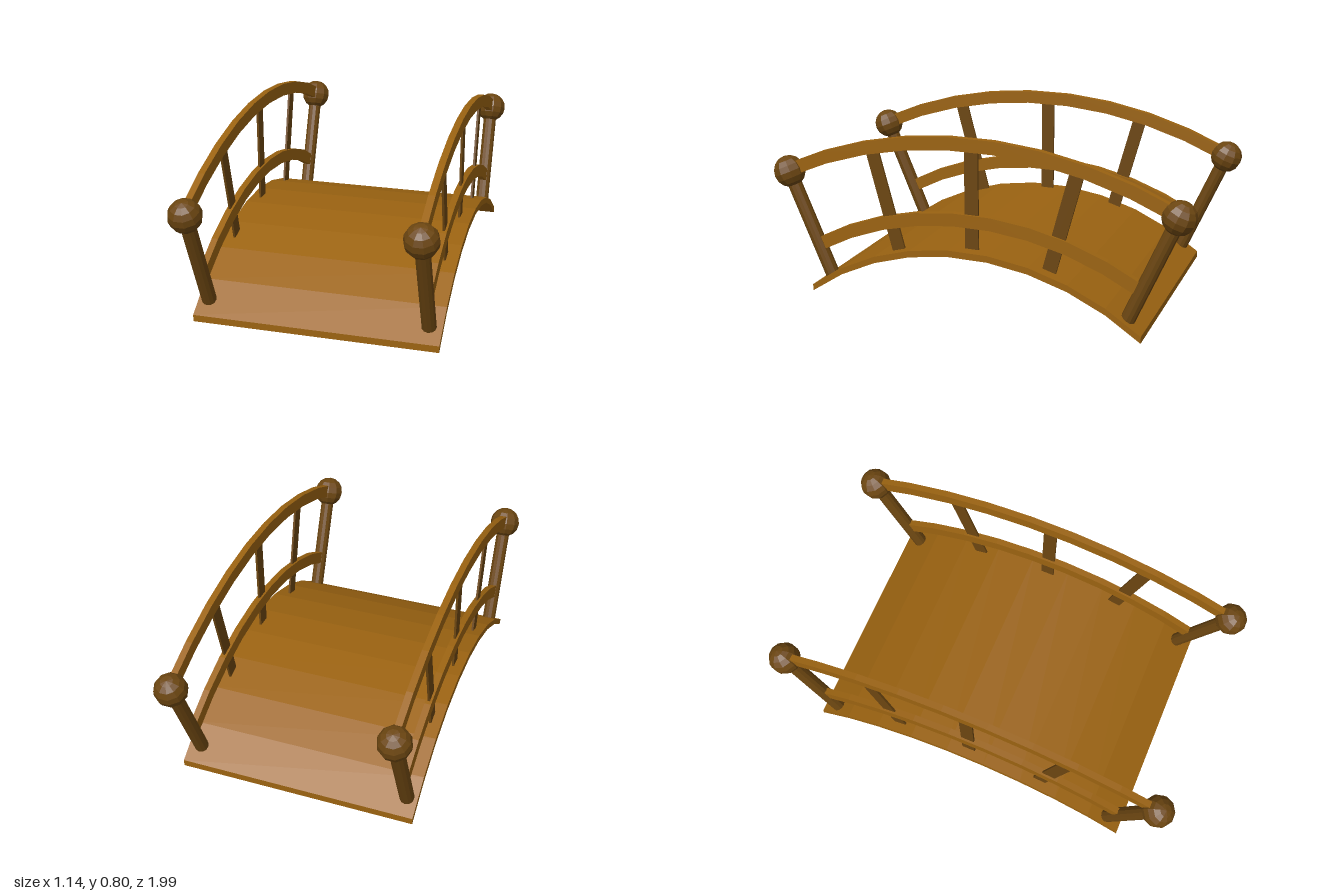
import * as THREE from 'three';

const wood = new THREE.MeshStandardMaterial({ color: 0x9b6311, flatShading: true });
wood.name = 'warm wood';
const darkWood = new THREE.MeshStandardMaterial({ color: 0x6c4611, flatShading: true });
darkWood.name = 'dark wood';

const SEGMENTS = 9;

// Arched strip in the z-y plane, extruded along x. peak and end heights describe its top edge.
// Vertical ends when plumb, otherwise the ends are cut square to the arc.
function archGeometry(halfSpan, peak, end, thick, width, plumb) {
  const sag = peak - end;
  const radius = (halfSpan * halfSpan + sag * sag) / (2 * sag);
  const half = Math.asin(halfSpan / radius);
  const top = [], bottom = [];
  for (let i = 0; i <= SEGMENTS; i++) {
    const a = -half + (2 * half * i) / SEGMENTS;
    const z = radius * Math.sin(a), y = peak - radius + radius * Math.cos(a);
    top.push(new THREE.Vector2(z, y));
    bottom.unshift(plumb
      ? new THREE.Vector2(z, y - thick)
      : new THREE.Vector2(z - thick * Math.sin(a), y - thick * Math.cos(a)));
  }
  const geo = new THREE.ExtrudeGeometry(new THREE.Shape([...top, ...bottom]), { depth: width, bevelEnabled: false });
  geo.translate(0, 0, -width / 2);
  geo.rotateY(Math.PI / 2);
  return geo;
}

function add(parent, name, geo, mat) {
  const mesh = new THREE.Mesh(geo, mat);
  mesh.name = name;
  parent.add(mesh);
  return mesh;
}

// Stand a y-aligned mesh between two points given as [z, y]
function span(mesh, a, b) {
  mesh.position.set(0, (a[1] + b[1]) / 2, (a[0] + b[0]) / 2);
  mesh.rotation.x = Math.atan2(b[0] - a[0], b[1] - a[1]);
}

const distance = (a, b) => Math.hypot(b[0] - a[0], b[1] - a[1]);

function railing(name) {
  const group = new THREE.Group();
  group.name = name;
  add(group, 'handrail', archGeometry(0.935, 0.81, 0.597, 0.06, 0.03, false), wood);
  add(group, 'middleRail', archGeometry(0.79, 0.463, 0.25, 0.06, 0.03, false), wood);

  // Flat balusters fanning outwards
  for (const [zLow, yLow, zHigh, yHigh] of [[0, 0.285, 0, 0.78], [0.362, 0.24, 0.487, 0.715], [-0.362, 0.24, -0.487, 0.715]]) {
    const a = [zLow, yLow], b = [zHigh, yHigh];
    span(add(group, 'baluster', new THREE.BoxGeometry(0.01, distance(a, b), 0.064), darkWood), a, b);
  }

  // Leaning end posts with ball caps
  for (const s of [1, -1]) {
    const a = [0.722 * s, 0.079], b = [0.925 * s, 0.562];
    span(add(group, 'endPost', new THREE.CylinderGeometry(0.033, 0.033, distance(a, b), 12), darkWood), a, b);
    const ball = add(group, 'postBall', new THREE.SphereGeometry(0.075, 10, 8), darkWood);
    span(ball, a, b);
    ball.position.set(0, b[1], b[0]);
  }
  return group;
}

export function createModel() {
  const bridge = new THREE.Group();
  bridge.name = 'archedFootbridge';

  const deck = add(bridge, 'deck', archGeometry(0.797, 0.304, 0.034, 0.031, 1.1, true), wood);
  deck.position.x = 0.005;

  for (const s of [1, -1]) {
    const side = railing(s > 0 ? 'leftRailing' : 'rightRailing');
    side.position.x = 0.496 * s;
    bridge.add(side);
  }
  return bridge;
}
